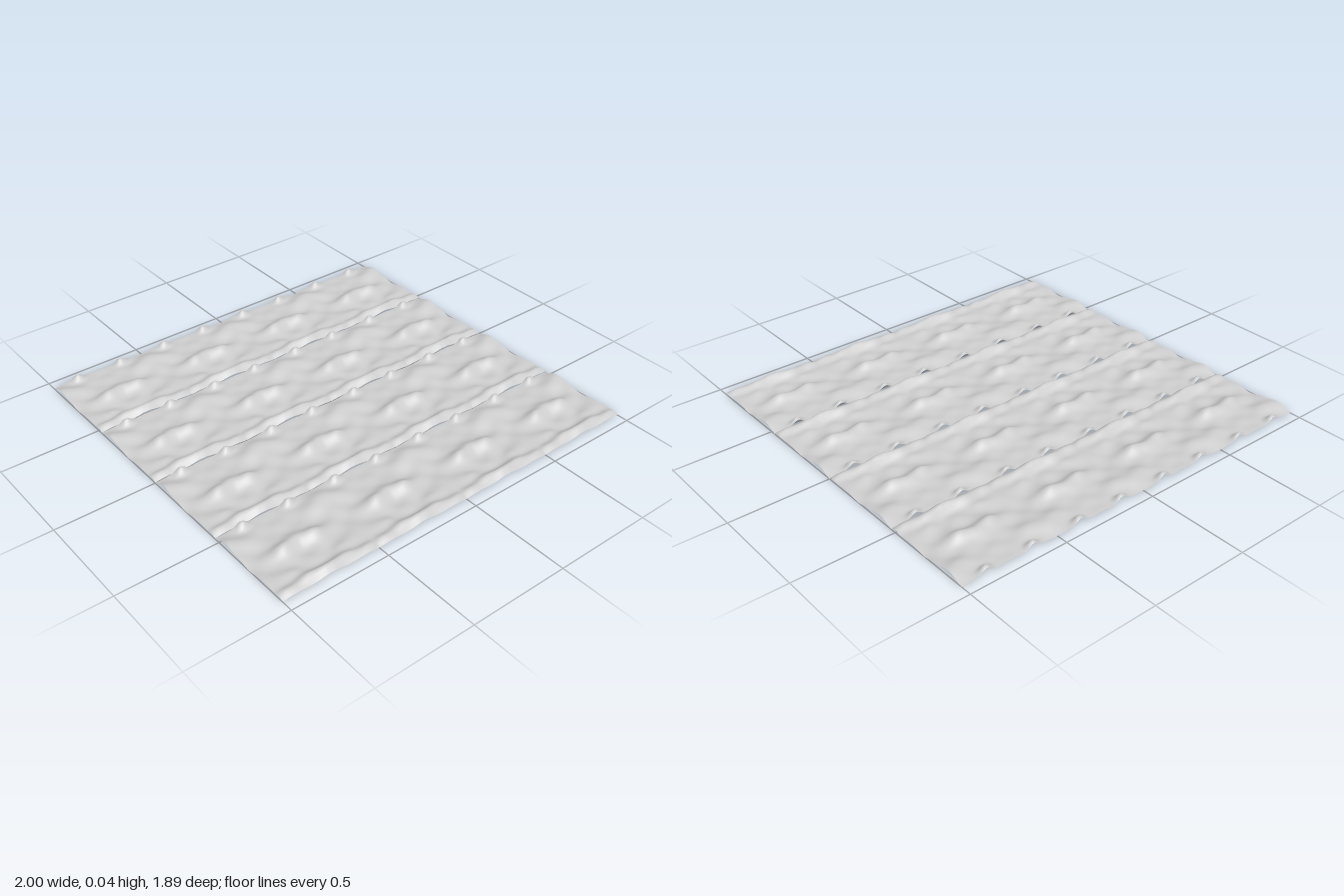
import * as THREE from 'three';

const TILE_X = 0.5, TILE_Z = 0.4725, COUNT = 4, SEG = 44;

// Bumps of one tile, mirrored in u: [u, v, width, depth, height]; v runs from the back edge
const BUMPS = [
  [0.08, 0.24, 0.038, 0.026, 0.042],  // paired crests
  [0, 0.22, 0.035, 0.035, 0.024],     // middle crest
  [0.25, 0.10, 0.075, 0.042, 0.026],  // swell across the tile sides
  [0.12, 0.012, 0.022, 0.015, 0.034], // spikes on the back edge
  [0, 0.44, 0.045, 0.020, 0.036],     // front ridge
  [0.10, 0.435, 0.045, 0.020, 0.024],
  [0.21, 0.445, 0.040, 0.018, 0.022],
  [0.12, 0.37, 0.030, 0.022, 0.014],
  [0.25, 0.35, 0.050, 0.035, 0.010],
  [0, 0.09, 0.060, 0.030, 0.008],
];

const bell = (d, s) => Math.exp(-0.5 * (d / s) ** 2);

function height(u, v) {
  const a = Math.abs(u);
  let h = 0.009
    + 0.003 * Math.cos(a * Math.PI * 12) * Math.cos(v * Math.PI * 8 / TILE_Z)
    + 0.002 * Math.sin(a * Math.PI * 8 + v * 40);
  for (const [bu, bv, su, sv, amp] of BUMPS) {
    h += amp * bell(a - bu, su) * bell(v - bv, sv);
  }
  return THREE.MathUtils.clamp(h, 0, 0.06);
}

// One rippled sheet, displaced from a flat grid
function tileGeometry() {
  const geo = new THREE.PlaneGeometry(TILE_X, TILE_Z, SEG, SEG).rotateX(-Math.PI / 2);
  const p = geo.attributes.position;
  for (let i = 0; i < p.count; i++) {
    p.setY(i, height(p.getX(i), p.getZ(i) + TILE_Z / 2));
  }
  geo.computeVertexNormals();
  return geo;
}

export function createModel() {
  const model = new THREE.Group();
  model.name = 'rippledSurface';
  const material = new THREE.MeshStandardMaterial({ color: 0xcccccc, side: THREE.DoubleSide });
  const geometry = tileGeometry();

  // Four by four repeat of the same tile
  for (let row = 0; row < COUNT; row++) {
    for (let col = 0; col < COUNT; col++) {
      const tile = new THREE.Mesh(geometry, material);
      tile.name = `waveTile_${row}_${col}`;
      tile.position.set((col - 1.5) * TILE_X, 0, (row - 1.5) * TILE_Z);
      model.add(tile);
    }
  }
  return model;
}
